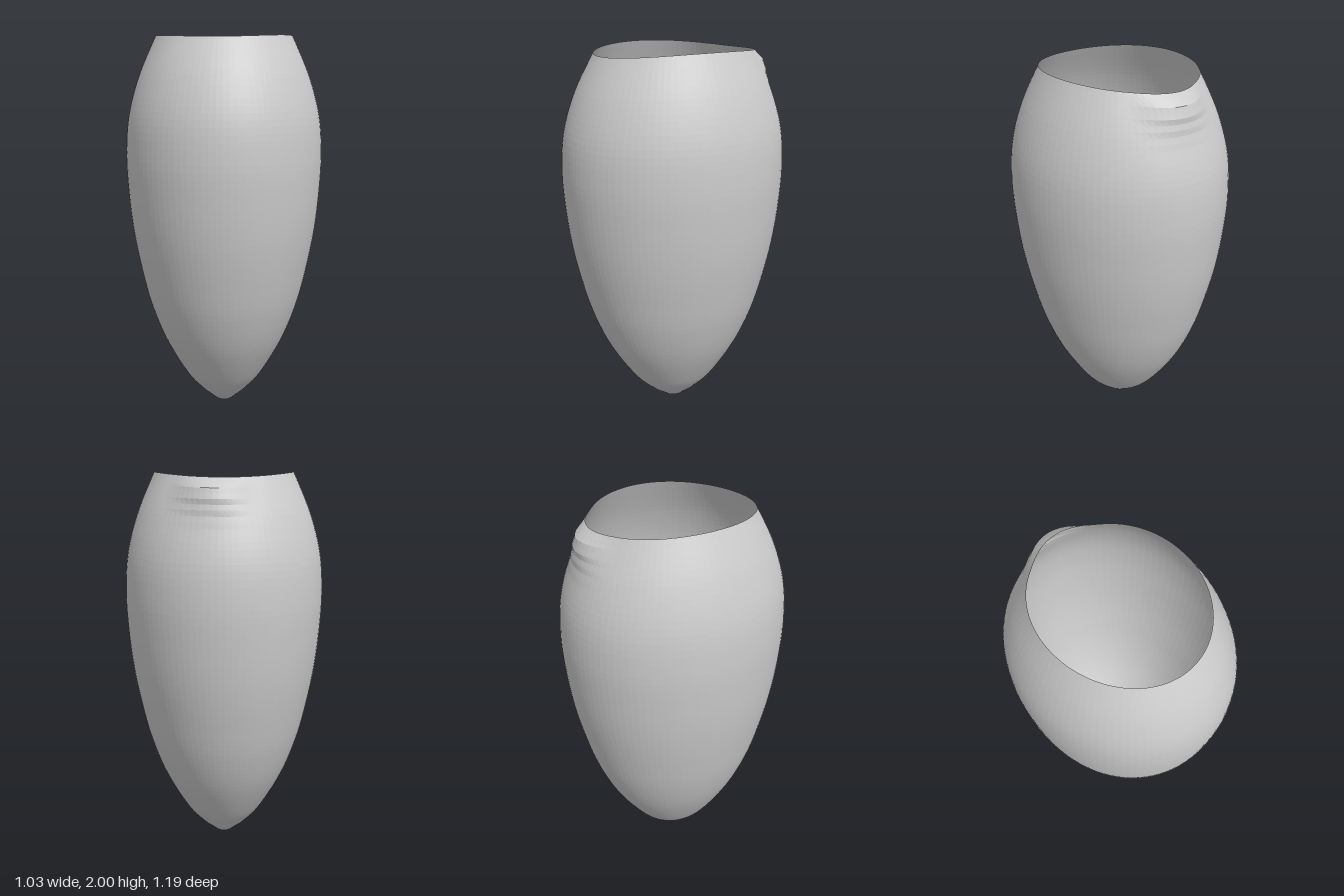
import * as THREE from 'three';

// Half-widths of the oval cross-section at its widest
const HALF_X = 0.515, HALF_Z = 0.595;

// Egg profile: [relative radius, height]
const PROFILE = [
  [0, 0.005], [0.075, 0.015], [0.155, 0.05], [0.26, 0.1], [0.42, 0.2], [0.635, 0.4],
  [0.78, 0.6], [0.875, 0.8], [0.945, 1.0], [0.985, 1.2], [1, 1.4], [0.968, 1.6],
  [0.86, 1.8], [0.69, 2.0],
];

// Outward swelling of the pouring lip, by height
function lipSwell(y) {
  const keys = [[1.74, 0], [1.8, 0.005], [1.86, 0.022], [1.9, 0.04], [1.95, 0.05], [2.0, 0.022]];
  for (let i = 1; i < keys.length; i++) {
    const [y0, s0] = keys[i - 1], [y1, s1] = keys[i];
    if (y >= y0 && y <= y1) return s0 + (s1 - s0) * THREE.MathUtils.smoothstep(y, y0, y1);
  }
  return 0;
}

export function createModel() {
  const group = new THREE.Group();
  group.name = 'vessel';

  const curve = new THREE.SplineCurve(PROFILE.map(([r, y]) => new THREE.Vector2(r, y)));
  const points = curve.getSpacedPoints(72);
  points[0].x = 0;
  const geometry = new THREE.LatheGeometry(points, 96);
  const pos = geometry.attributes.position;

  for (let i = 0; i < pos.count; i++) {
    const x = pos.getX(i), y = pos.getY(i), z = pos.getZ(i);
    const angle = Math.atan2(x, -z); // zero at the back
    // The lip sits at the back, a little to the left, and fades to both sides
    const side = Math.min(Math.abs(angle - 0.17) / 0.6, 1);
    const swell = lipSwell(y) * (0.5 + 0.5 * Math.cos(Math.PI * side));
    // The rim dips gently at front and back
    const dip = 0.027 * Math.cos(angle) ** 2 * (y / 2) ** 8;
    pos.setXYZ(i, x * HALF_X + Math.sin(angle) * swell, y - dip, z * HALF_Z - Math.cos(angle) * swell);
  }
  geometry.computeVertexNormals();

  const material = new THREE.MeshStandardMaterial({
    color: 0xcccccc, flatShading: true, side: THREE.DoubleSide,
  });
  const shell = new THREE.Mesh(geometry, material);
  shell.name = 'shell';
  group.add(shell);
  return group;
}
